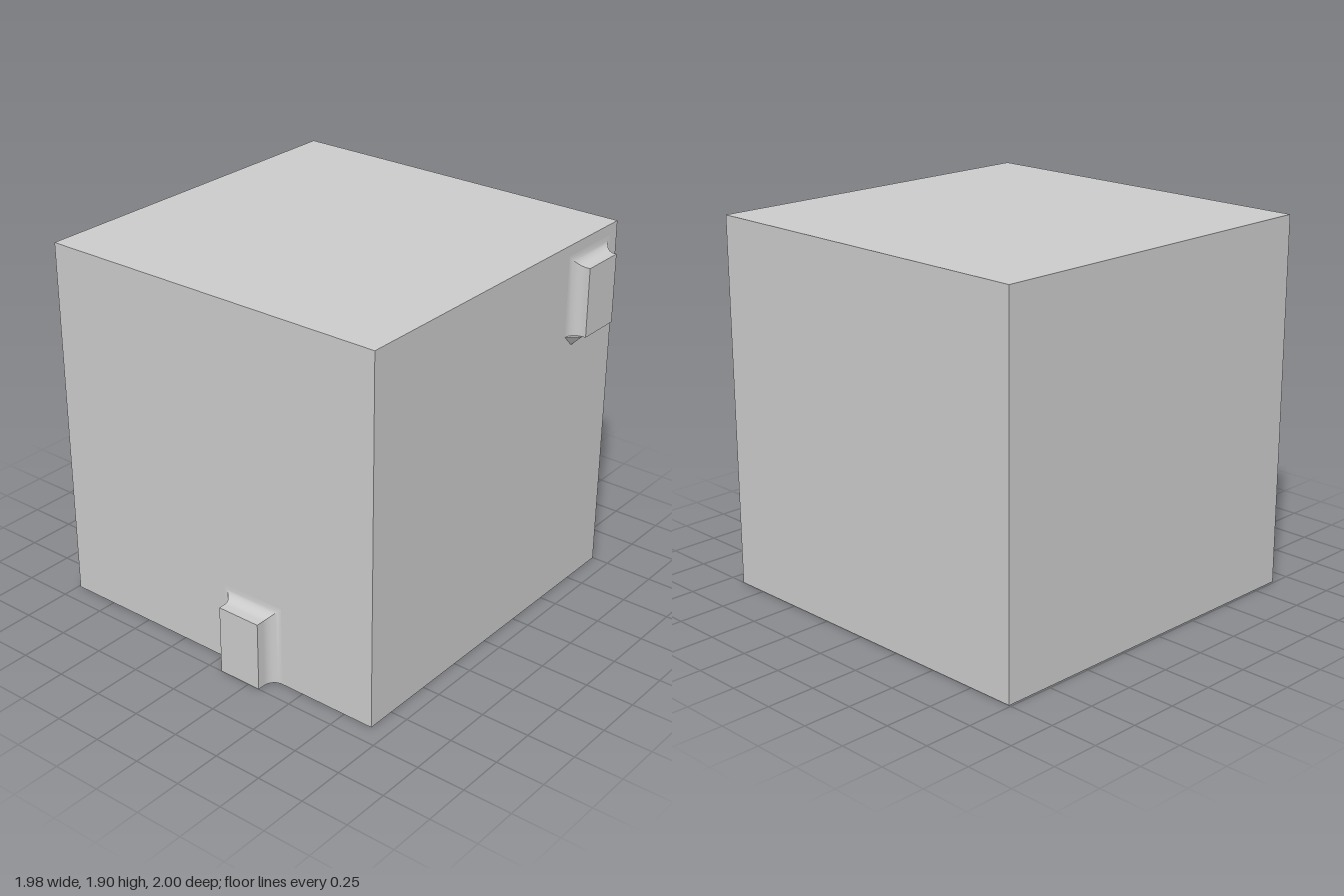
import * as THREE from 'three';
import { toCreasedNormals } from 'three/addons/utils/BufferGeometryUtils.js';

const S = 0.475;               // quarter of the cube's edge
const CX = -0.04, CZ = -0.05;  // cube centre
const RISE = 0.2375;           // climb of each ramp

const flat = new THREE.MeshStandardMaterial({ color: 0xcccccc, flatShading: true, side: THREE.DoubleSide });
const smooth = new THREE.MeshStandardMaterial({ color: 0xcccccc, side: THREE.DoubleSide });

function add(parent, name, geometry, material = flat) {
  const mesh = new THREE.Mesh(geometry, material);
  mesh.name = name;
  parent.add(mesh);
  return mesh;
}

const polygon = (pts) => new THREE.Shape(pts.map(([x, y]) => new THREE.Vector2(x, y)));

// Raised block whose top and sides flare into the wall with a concave fillet
function flaredBlock(halfWidth, height, depth, radius) {
  const steps = 8, pos = [], index = [];
  for (let i = 0; i <= steps + 1; i++) {
    const a = (Math.min(i, steps) / steps) * Math.PI / 2;
    const f = radius * (1 - Math.sin(a));
    const d = i > steps ? depth : radius * (1 - Math.cos(a));
    const w = halfWidth + f, h = height + f;
    pos.push(-w, 0, d, -w, h, d, w, h, d, w, 0, d);
  }
  for (let i = 0; i <= steps; i++) {
    for (let j = 0; j < 4; j++) {
      const a = i * 4 + j, b = i * 4 + (j + 1) % 4;
      index.push(a, a + 4, b, b, a + 4, b + 4);
    }
  }
  const e = (steps + 1) * 4;
  index.push(e, e + 2, e + 1, e, e + 3, e + 2);
  const g = new THREE.BufferGeometry();
  g.setAttribute('position', new THREE.Float32BufferAttribute(pos, 3));
  g.setIndex(index);
  return toCreasedNormals(g, 0.6);
}

// Small three-sided support spike, flat against the wall
function spike(r) {
  const g = new THREE.BufferGeometry();
  g.setAttribute('position', new THREE.Float32BufferAttribute(
    [-r, 0, 0, r, 0, 0, 0, 0, r, 0, -r, 0], 3));
  g.setIndex([0, 2, 1, 0, 3, 2, 2, 3, 1, 0, 1, 3]);
  return g;
}

// One channel of the rising spiral under the cube, in the frame of turn 0
function channel(k) {
  const group = new THREE.Group();
  group.name = 'rampChannel' + (k + 1);
  const y0 = k * RISE, y1 = y0 + RISE;

  // sloping ceiling followed by a level landing
  const ramp = new THREE.PlaneGeometry(S, 3 * S, 1, 3).rotateX(Math.PI / 2).translate(-1.5 * S, 0, -0.5 * S);
  const p = ramp.attributes.position;
  for (let i = 0; i < p.count; i++) {
    p.setY(i, y0 + RISE * Math.min((S - p.getZ(i)) / (2 * S), 1));
  }
  add(group, 'ramp', ramp);

  // inner wall, running on to part this channel from the next
  const wall = new THREE.ShapeGeometry(polygon([[S, 0], [S, y0], [-S, y1], [-2 * S, y1], [-2 * S, 0]]));
  add(group, 'innerWall', wall.rotateY(-Math.PI / 2).translate(-S, 0, 0));

  // tapered rail on the inner wall
  const low = 0.06, high = 0.105;
  const pts = [[S, low * k], [-S, low * (k + 1)], [-S, high * (k + 1)]];
  if (k > 0) pts.push([S, high * k]);
  const rail = new THREE.ExtrudeGeometry(polygon(pts), { depth: 0.05, bevelEnabled: false });
  add(group, 'rail', rail.rotateY(-Math.PI / 2).translate(-S, 0, 0));

  group.rotation.y = -k * Math.PI / 2;
  return group;
}

export function createModel() {
  const model = new THREE.Group();
  model.name = 'cubeWithRamps';

  // outer shell: a box without its bottom face
  const box = new THREE.BoxGeometry(4 * S, 4 * S, 4 * S);
  const idx = Array.from(box.index.array);
  box.setIndex([...idx.slice(0, 18), ...idx.slice(24)]);
  box.clearGroups();
  add(model, 'outerShell', box.translate(CX, 2 * S, CZ));

  // underside
  const base = new THREE.Group();
  base.name = 'underside';
  base.position.set(CX, 0, CZ);
  model.add(base);

  // flat bottom plate: the middle square and the front strip, with a round hole
  const plate = polygon([[-S, -S], [S, -S], [S, 2 * S], [-2 * S, 2 * S], [-2 * S, S], [-S, S]]);
  const hole = new THREE.Path();
  const R = 0.13, SIDES = 10, DEPTH = 0.5;
  for (let i = 0; i < SIDES; i++) {
    const a = (i / SIDES) * Math.PI * 2;
    hole[i ? 'lineTo' : 'moveTo'](R * Math.sin(a), R * Math.cos(a));
  }
  hole.closePath();
  plate.holes.push(hole);
  add(base, 'bottomPlate', new THREE.ShapeGeometry(plate).rotateX(Math.PI / 2));
  add(base, 'holeWall', new THREE.CylinderGeometry(R, R, DEPTH, SIDES, 1, true).translate(0, DEPTH / 2, 0));
  add(base, 'holeEnd', new THREE.CircleGeometry(R, SIDES).rotateX(Math.PI / 2).translate(0, DEPTH, 0));

  for (let k = 0; k < 3; k++) base.add(channel(k));

  // key block at the foot of the front
  add(model, 'frontKey', flaredBlock(0.118, 0.36, 0.1, 0.06), smooth).position.set(0.197, 0, 0.9);

  // key block near the top of the left side, with two spikes beneath
  const sideKey = new THREE.Group();
  sideKey.name = 'sideKey';
  sideKey.position.set(0.91, 1.43, -0.76);
  sideKey.rotation.y = Math.PI / 2;
  add(sideKey, 'keyBlock', flaredBlock(0.118, 0.355, 0.078, 0.06), smooth);
  for (const side of [-1, 1]) {
    add(sideKey, 'supportSpike', spike(0.06)).position.x = side * 0.118;
  }
  model.add(sideKey);

  return model;
}
